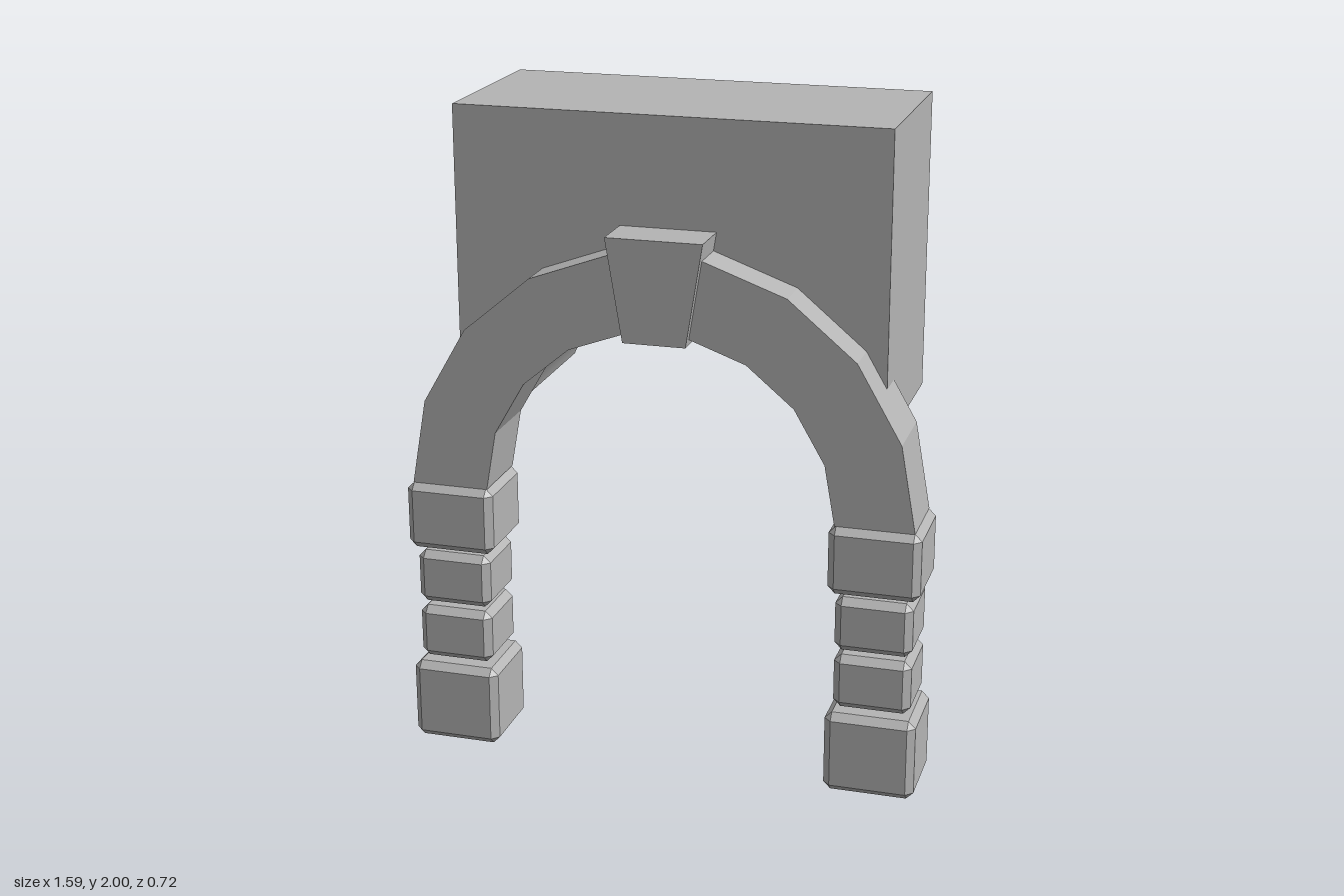
import * as THREE from 'three';
import { toCreasedNormals } from 'three/addons/utils/BufferGeometryUtils.js';
import { ConvexGeometry } from 'three/addons/geometries/ConvexGeometry.js';

const stone = new THREE.MeshStandardMaterial({ color: 0xb4b4b4 });
stone.name = 'grey stone';

const ARCH_Y = 0.862; // springing height, centre of all arcs
const INNER = 0.537;

function addPart(group, name, geometry) {
  const mesh = new THREE.Mesh(geometry, stone);
  mesh.name = name;
  group.add(mesh);
}

// Extrude a flat shape between two z positions
function slab(shape, z0, z1, curveSegments = 12) {
  const g = new THREE.ExtrudeGeometry(shape, { depth: z1 - z0, bevelEnabled: false, curveSegments });
  return g.translate(0, 0, z0);
}

// Box with cut edges: three shrunken copies of the corners, wrapped
function chamferedBox(w, h, d, c) {
  const points = [];
  for (const sx of [-1, 1]) for (const sy of [-1, 1]) for (const sz of [-1, 1]) {
    const x = w / 2, y = h / 2, z = d / 2;
    points.push(
      new THREE.Vector3(sx * x, sy * (y - c), sz * (z - c)),
      new THREE.Vector3(sx * (x - c), sy * y, sz * (z - c)),
      new THREE.Vector3(sx * (x - c), sy * (y - c), sz * z));
  }
  return new ConvexGeometry(points);
}

export function createModel() {
  const model = new THREE.Group();
  model.name = 'archway';

  // Wall block with a smooth round vault cut through its underside
  const bottom = 1.078, r = INNER;
  const start = Math.asin((bottom - ARCH_Y) / r);
  const wall = new THREE.Shape();
  wall.moveTo(0.657, bottom);
  wall.lineTo(0.657, 2);
  wall.lineTo(-0.657, 2);
  wall.lineTo(-0.657, bottom);
  wall.lineTo(-r * Math.cos(start), bottom);
  wall.absarc(0, ARCH_Y, r, Math.PI - start, start, true);
  wall.closePath();
  addPart(model, 'wallBlock', toCreasedNormals(slab(wall, -0.362, 0.215, 40), Math.PI / 6));

  // Faceted arch ring, nine straight segments
  const ring = [];
  const segments = 9;
  for (let i = 0; i <= segments; i++) {
    const a = (i / segments) * Math.PI;
    ring.push(new THREE.Vector2(Math.cos(a) * 0.775, ARCH_Y - 0.01 + Math.sin(a) * 0.775));
  }
  for (let i = segments; i >= 0; i--) {
    const a = (i / segments) * Math.PI;
    ring.push(new THREE.Vector2(Math.cos(a) * INNER, ARCH_Y - 0.01 + Math.sin(a) * INNER));
  }
  addPart(model, 'archRing', slab(new THREE.Shape(ring), 0.115, 0.338));

  // Tapered keystone
  const key = new THREE.Shape([
    new THREE.Vector2(-0.095, 1.36), new THREE.Vector2(0.095, 1.36),
    new THREE.Vector2(0.146, 1.67), new THREE.Vector2(-0.146, 1.67)]);
  addPart(model, 'keystone', slab(key, 0.125, 0.362));

  // Pillars of stacked stones: bottom, top, width, depth
  const stones = [
    ['baseStone', 0, 0.256, 0.276, 0.26],
    ['lowerStone', 0.27, 0.44, 0.234, 0.224],
    ['upperStone', 0.455, 0.625, 0.234, 0.224],
    ['capitalStone', 0.64, 0.852, 0.276, 0.26]];
  for (const side of [1, -1]) {
    const pillar = new THREE.Group();
    pillar.name = side > 0 ? 'leftPillar' : 'rightPillar';
    pillar.position.set(side * 0.658, 0, 0.226);
    for (const [name, y0, y1, w, d] of stones) {
      addPart(pillar, name, chamferedBox(w, y1 - y0, d, 0.022).translate(0, (y0 + y1) / 2, 0));
    }
    model.add(pillar);
  }
  return model;
}
